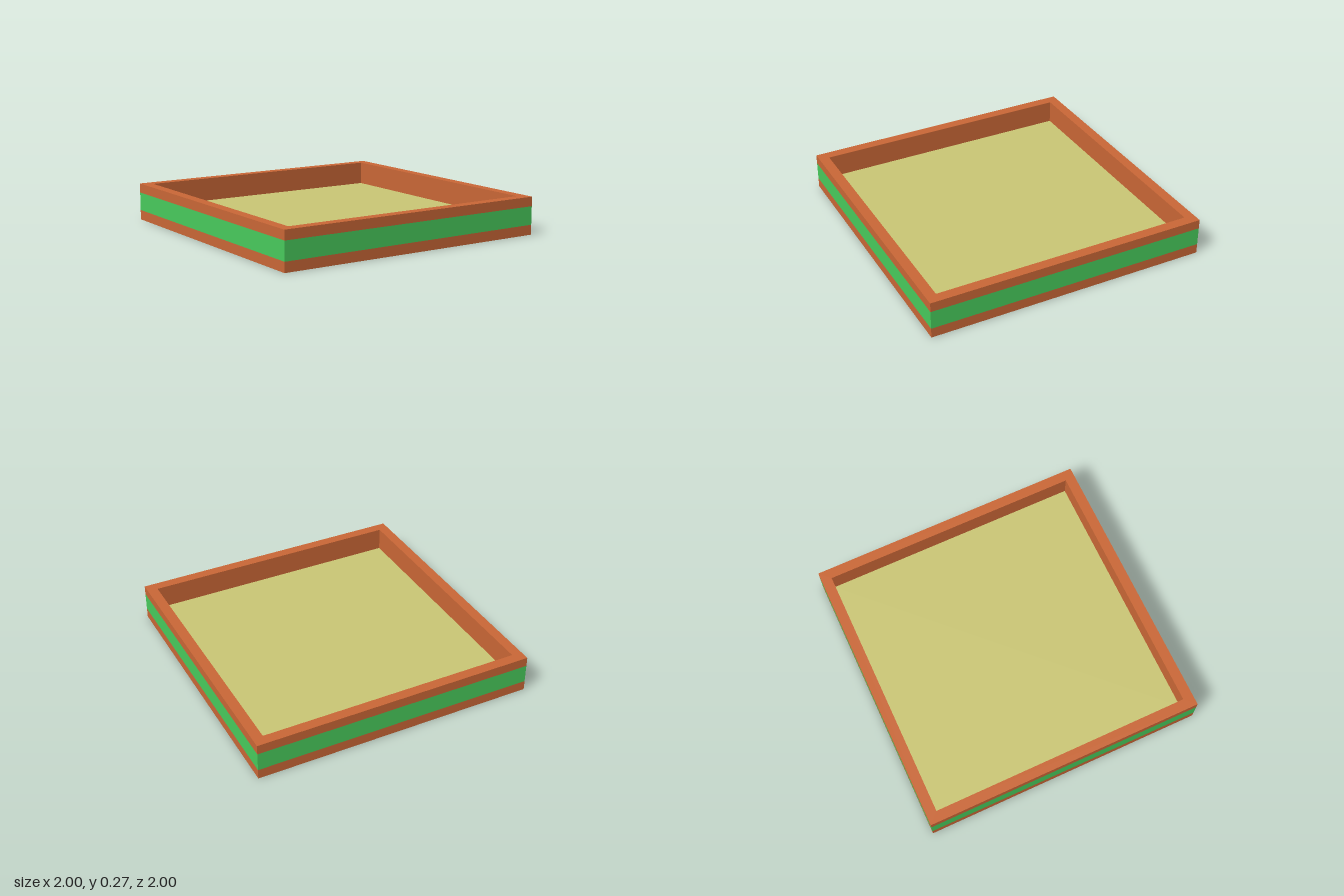
import * as THREE from 'three';

const HALF = 1;
const INNER = 0.927; // half width inside the walls
const BAND_LOW = 0.07, BAND_HIGH = 0.2, TOP = 0.267, FLOOR = 0.1;

const brown = new THREE.MeshStandardMaterial({ color: 0xca6736 });
const green = new THREE.MeshStandardMaterial({ color: 0x48cb5c });
const sand = new THREE.MeshStandardMaterial({ color: 0xcac675 });

// Sweeps a [halfWidth, height] profile around a square
function squareSweep(profile) {
  const points = profile.map(([r, y]) => new THREE.Vector2(r * Math.SQRT2, y));
  const geometry = new THREE.LatheGeometry(points, 4, Math.PI / 4).toNonIndexed();
  geometry.computeVertexNormals();
  return geometry;
}

function slab(halfWidth, y0, y1) {
  return new THREE.BoxGeometry(halfWidth * 2, y1 - y0, halfWidth * 2).translate(0, (y0 + y1) / 2, 0);
}

export function createModel() {
  const tray = new THREE.Group();
  tray.name = 'squareTray';

  const add = (name, geometry, material) => {
    const mesh = new THREE.Mesh(geometry, material);
    mesh.name = name;
    tray.add(mesh);
  };

  // Solid bottom
  add('base', slab(HALF, 0, BAND_LOW), brown);
  // Coloured stripe around the outside
  add('stripe', squareSweep([[HALF, BAND_LOW], [HALF, BAND_HIGH]]), green);
  // Upper edge, flat rim and inner walls
  add('rim', squareSweep([[HALF, BAND_HIGH], [HALF, TOP], [INNER, TOP], [INNER, BAND_LOW]]), brown);
  // Filling between the walls
  add('floor', slab(INNER, BAND_LOW, FLOOR), sand);

  return tray;
}
